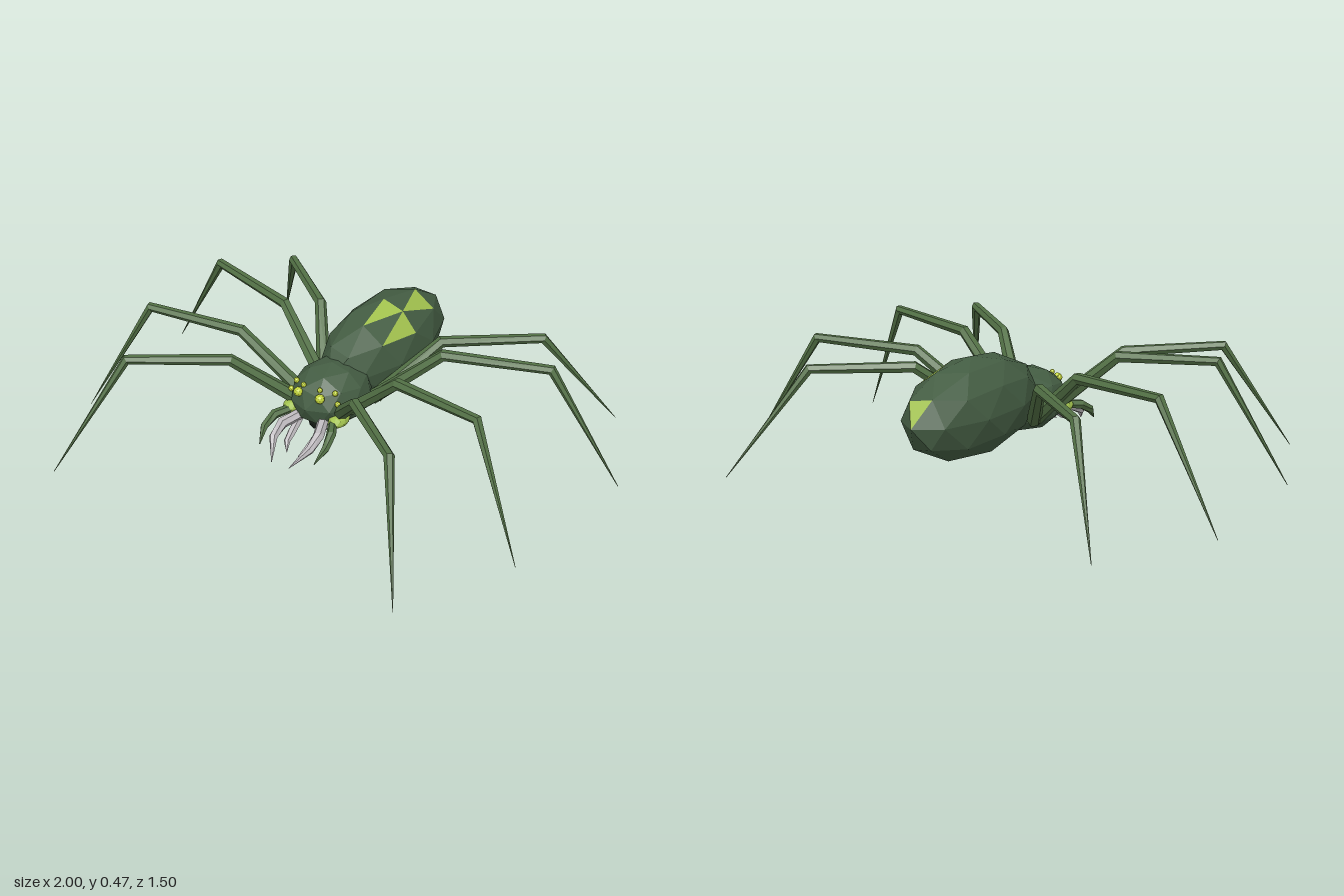
import * as THREE from 'three';

const mat = (name, color) => {
  const m = new THREE.MeshStandardMaterial({ color });
  m.name = name;
  return m;
};

// Faceted geometry from lists of triangles; each list becomes one material group
function facets(...lists) {
  const geo = new THREE.BufferGeometry();
  geo.setFromPoints(lists.flat(2));
  let start = 0;
  lists.forEach((list, i) => {
    geo.addGroup(start, list.length * 3, i);
    start += list.length * 3;
  });
  geo.computeVertexNormals();
  return geo;
}

// 80-sided ball with its poles on y; faces whose keys are in "marked" go to the second group
function ball(center, radii, marked = []) {
  const ring = (deg, h) => {
    const a = THREE.MathUtils.degToRad(deg), r = Math.sqrt(1 - h * h);
    return new THREE.Vector3(r * Math.cos(a), h, -r * Math.sin(a));
  };
  const h = Math.sqrt(0.2), faces = [];
  const top = new THREE.Vector3(0, 1, 0), bottom = new THREE.Vector3(0, -1, 0);
  for (let k = 0; k < 5; k++) {
    const v0 = ring(72 * k, h), v1 = ring(72 * (k + 1), h);
    const l0 = ring(72 * k + 36, -h), l1 = ring(72 * k + 108, -h);
    faces.push([top, v0, v1], [v0, l0, v1], [l0, l1, v1], [bottom, l1, l0]);
  }
  const mid = (a, b) => a.clone().add(b).normalize();
  const place = p => p.clone().multiply(radii).add(center);
  const lists = [[], []];
  faces.forEach(([a, b, c], f) => {
    const ab = mid(a, b), bc = mid(b, c), ca = mid(c, a);
    [[a, ab, ca], [ab, b, bc], [ca, bc, c], [ab, bc, ca]].forEach((tri, s) =>
      lists[marked.includes(f * 4 + s) ? 1 : 0].push(tri.map(place)));
  });
  return facets(...lists);
}

// Jointed, tapering limb through the given points
function limb(points, radii, side, sides = 6) {
  const pts = points.map(([x, y, z]) => new THREE.Vector3(x * side, y, z));
  const up = new THREE.Vector3(0, 1, 0), last = pts.length - 1;
  const rings = pts.map((p, i) => {
    const t = new THREE.Vector3();
    if (i > 0) t.add(p.clone().sub(pts[i - 1]).normalize());
    if (i < last) t.add(pts[i + 1].clone().sub(p).normalize());
    t.normalize();
    const u = t.clone().cross(up).normalize(), v = t.clone().cross(u);
    return Array.from({ length: sides }, (_, j) => {
      const a = (j / sides) * Math.PI * 2;
      return p.clone().addScaledVector(u, radii[i] * Math.cos(a)).addScaledVector(v, radii[i] * Math.sin(a));
    });
  });
  const tris = [];
  for (let j = 0; j < sides; j++) {
    const n = (j + 1) % sides;
    for (let i = 0; i < last; i++) {
      const a = rings[i], b = rings[i + 1];
      tris.push([a[j], a[n], b[j]], [a[n], b[n], b[j]]);
    }
    tris.push([pts[0], rings[0][n], rings[0][j]], [pts[last], rings[last][j], rings[last][n]]);
  }
  return facets(tris);
}

export function createModel() {
  const model = new THREE.Group();
  model.name = 'spider';
  const body = mat('bodyGreen', 0x445d43), legGreen = mat('legGreen', 0x527045);
  const patch = mat('limePatch', 0xa2c24e), eyeMat = mat('eyeYellow', 0xc4d63a);
  const fangMat = mat('fangGrey', 0xbebabe), dark = mat('mouthDark', 0x141c14);
  const V = (x, y, z) => new THREE.Vector3(x, y, z);
  const add = (name, geo, material) => {
    const m = new THREE.Mesh(geo, material);
    m.name = name;
    model.add(m);
  };

  // Abdomen with its lime facets, head and mouth
  add('abdomen', ball(V(0, 0.29, -0.31), V(0.161, 0.181, 0.352), [3, 64, 66, 20]), [body, patch]);
  const headCenter = V(0, 0.24, 0.03), headRadii = V(0.142, 0.12, 0.17);
  add('head', ball(headCenter, headRadii), body);
  add('mouth', ball(V(0, 0.158, 0.122), V(0.035, 0.033, 0.03)), dark);

  // Points are base, hip joint, knee and foot
  const legs = {
    frontLeg: [[0.1, 0.225, 0.12], [0.27, 0.4, 0.28], [0.56, 0.415, 0.51], [0.735, 0, 0.745]],
    secondLeg: [[0.11, 0.22, 0.065], [0.34, 0.425, 0.12], [0.705, 0.445, 0.195], [0.94, 0, 0.305]],
    thirdLeg: [[0.11, 0.2, -0.07], [0.35, 0.41, -0.165], [0.735, 0.425, -0.27], [1, 0, -0.33]],
    backLeg: [[0.115, 0.2, -0.085], [0.27, 0.385, -0.285], [0.565, 0.385, -0.52], [0.775, 0, -0.75]],
  };
  // Eyes: direction from the head centre, then radius
  const eyes = [
    [0.33, 0.42, 0.84, 0.018], [0.6, 0.55, 0.6, 0.011],
    [0.72, 0.25, 0.65, 0.011], [0.25, 0.62, 0.74, 0.01],
  ];

  for (const side of [1, -1]) {
    const s = side > 0 ? 'left ' : 'right ';
    for (const [name, pts] of Object.entries(legs))
      add(s + name, limb(pts, [0.027, 0.022, 0.019, 0.001], side), legGreen);

    // Feeler with lime base
    add(s + 'feelerBase', ball(V(0.1 * side, 0.2, 0.13), V(0.034, 0.025, 0.052)), patch);
    add(s + 'feeler', limb([[0.09, 0.2, 0.155], [0.125, 0.19, 0.215], [0.135, 0.16, 0.265], [0.12, 0.115, 0.315]],
      [0.016, 0.018, 0.015, 0.002], side), legGreen);

    // Outer and inner fangs
    add(s + 'outerFang', limb([[0.05, 0.19, 0.16], [0.08, 0.175, 0.23], [0.08, 0.145, 0.285], [0.038, 0.09, 0.355]],
      [0.02, 0.021, 0.016, 0.001], side), fangMat);
    add(s + 'innerFang', limb([[0.055, 0.175, 0.15], [0.05, 0.14, 0.21], [0.045, 0.12, 0.25], [0.025, 0.095, 0.28]],
      [0.015, 0.016, 0.012, 0.001], side), fangMat);

    eyes.forEach(([x, y, z, r], i) => {
      const p = V(x * side, y, z).normalize().multiply(headRadii).add(headCenter);
      add(s + 'eye ' + (i + 1), ball(p, V(r, r, r)), eyeMat);
    });
  }
  return model;
}
